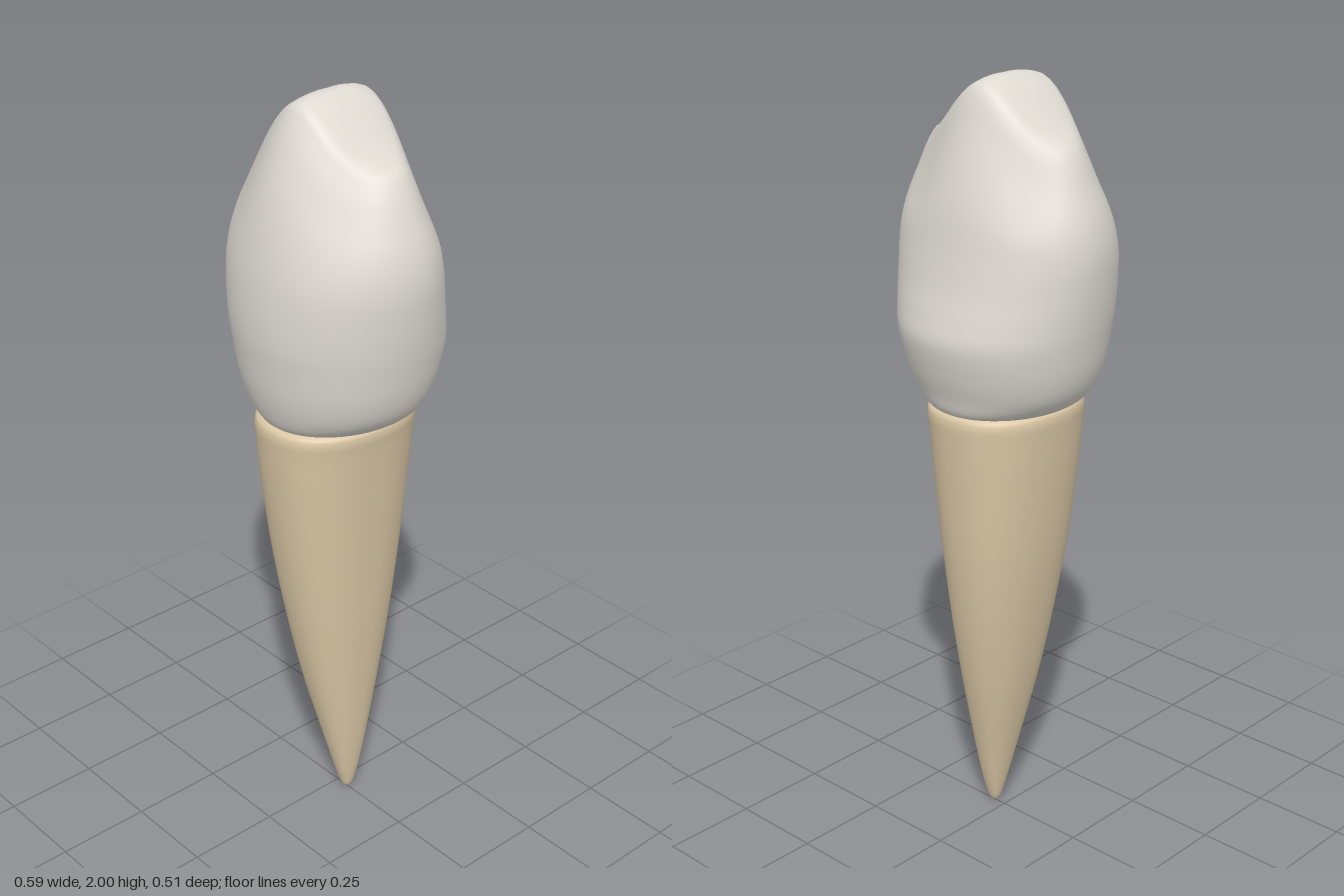
import * as THREE from 'three';

const enamel = new THREE.MeshStandardMaterial({ color: 0xdfdbd3 });
enamel.name = 'enamel';
const dentine = new THREE.MeshStandardMaterial({ color: 0xdac7a5 });
dentine.name = 'dentine';

const SIDES = 64;
const STEPS = 5;

// Smooth interpolation between neighbouring profile rows
function catmull(a, b, c, d, t) {
  const v0 = (c - a) / 2, v1 = (d - b) / 2;
  return (2 * b - 2 * c + v0 + v1) * t ** 3 + (3 * c - 3 * b - 2 * v0 - v1) * t * t + v0 * t + b;
}

function refine(rows) {
  const at = (i) => rows[Math.min(Math.max(i, 0), rows.length - 1)];
  const out = [];
  for (let i = 0; i < rows.length - 1; i++) {
    for (let s = 0; s < STEPS; s++) {
      out.push(rows[i].map((_, k) => catmull(at(i - 1)[k], at(i)[k], at(i + 1)[k], at(i + 2)[k], s / STEPS)));
    }
  }
  out.push(rows[rows.length - 1]);
  return out;
}

// Loft closed rings from rows of [y, xMin, xMax, zMin, zMax]; power sets how square they are
function loft(rows, power, warp = (x, y) => y) {
  const rings = refine(rows);
  const pos = [], index = [];
  for (const [y, x0, x1, z0, z1] of rings) {
    const cx = (x0 + x1) / 2, w = (x1 - x0) / 2;
    for (let j = 0; j < SIDES; j++) {
      const a = (j / SIDES) * Math.PI * 2;
      const c = Math.cos(a), s = Math.sin(a);
      const x = cx + w * Math.sign(c) * Math.abs(c) ** (2 / power);
      const z = Math.abs(s) ** (2 / power) * (s > 0 ? z1 : z0);
      pos.push(x, warp(x, y), z);
    }
  }
  for (let i = 0; i < rings.length - 1; i++) {
    for (let j = 0; j < SIDES; j++) {
      const k = (j + 1) % SIDES;
      const a = i * SIDES + j, b = i * SIDES + k;
      index.push(a, a + SIDES, b, b, a + SIDES, b + SIDES);
    }
  }
  const g = new THREE.BufferGeometry();
  g.setAttribute('position', new THREE.Float32BufferAttribute(pos, 3));
  g.setIndex(index);
  g.computeVertexNormals();
  return g;
}

// The biting edge drops away from the central cusp towards both sides
function cusp(x, y) {
  const drop = 0.128 * THREE.MathUtils.smoothstep(Math.abs(x + 0.008), 0, 0.2);
  return y - drop * THREE.MathUtils.smoothstep(y, 1.5, 1.95);
}

export function createModel() {
  const group = new THREE.Group();
  group.name = 'tooth';

  const crown = new THREE.Mesh(loft([
    [1.188, -0.08, 0.08, -0.10, 0.10],
    [1.188, -0.15, 0.15, -0.18, 0.19],
    [1.20, -0.19, 0.19, -0.20, 0.21],
    [1.24, -0.23, 0.23, -0.213, 0.226],
    [1.30, -0.255, 0.255, -0.233, 0.24],
    [1.38, -0.272, 0.272, -0.25, 0.25],
    [1.44, -0.282, 0.282, -0.24, 0.255],
    [1.51, -0.29, 0.29, -0.222, 0.254],
    [1.60, -0.295, 0.295, -0.205, 0.246],
    [1.70, -0.29, 0.29, -0.189, 0.228],
    [1.80, -0.275, 0.275, -0.163, 0.202],
    [1.90, -0.247, 0.247, -0.131, 0.165],
    [1.955, -0.225, 0.222, -0.112, 0.137],
    [1.983, -0.202, 0.198, -0.094, 0.117],
    [1.994, -0.165, 0.16, -0.068, 0.085],
    [2.0, -0.08, 0.08, -0.03, 0.04],
    [2.0, 0, 0, 0, 0],
  ], 2.05, cusp), enamel);
  crown.name = 'crown';
  group.add(crown);

  const root = new THREE.Mesh(loft([
    [0, 0.036, 0.036, 0, 0],
    [0.012, 0.022, 0.05, -0.013, 0.013],
    [0.05, 0.01, 0.06, -0.026, 0.026],
    [0.1, -0.002, 0.068, -0.04, 0.04],
    [0.2, -0.025, 0.08, -0.064, 0.066],
    [0.4, -0.07, 0.099, -0.11, 0.115],
    [0.6, -0.106, 0.117, -0.147, 0.154],
    [0.8, -0.136, 0.134, -0.174, 0.185],
    [1.0, -0.158, 0.152, -0.191, 0.208],
    [1.12, -0.169, 0.164, -0.2, 0.218],
    [1.17, -0.172, 0.17, -0.202, 0.22],
    [1.19, -0.16, 0.16, -0.19, 0.206],
    [1.2, -0.12, 0.12, -0.15, 0.16],
    [1.2, 0, 0, 0, 0],
  ], 2.25), dentine);
  root.name = 'root';
  group.add(root);

  return group;
}
